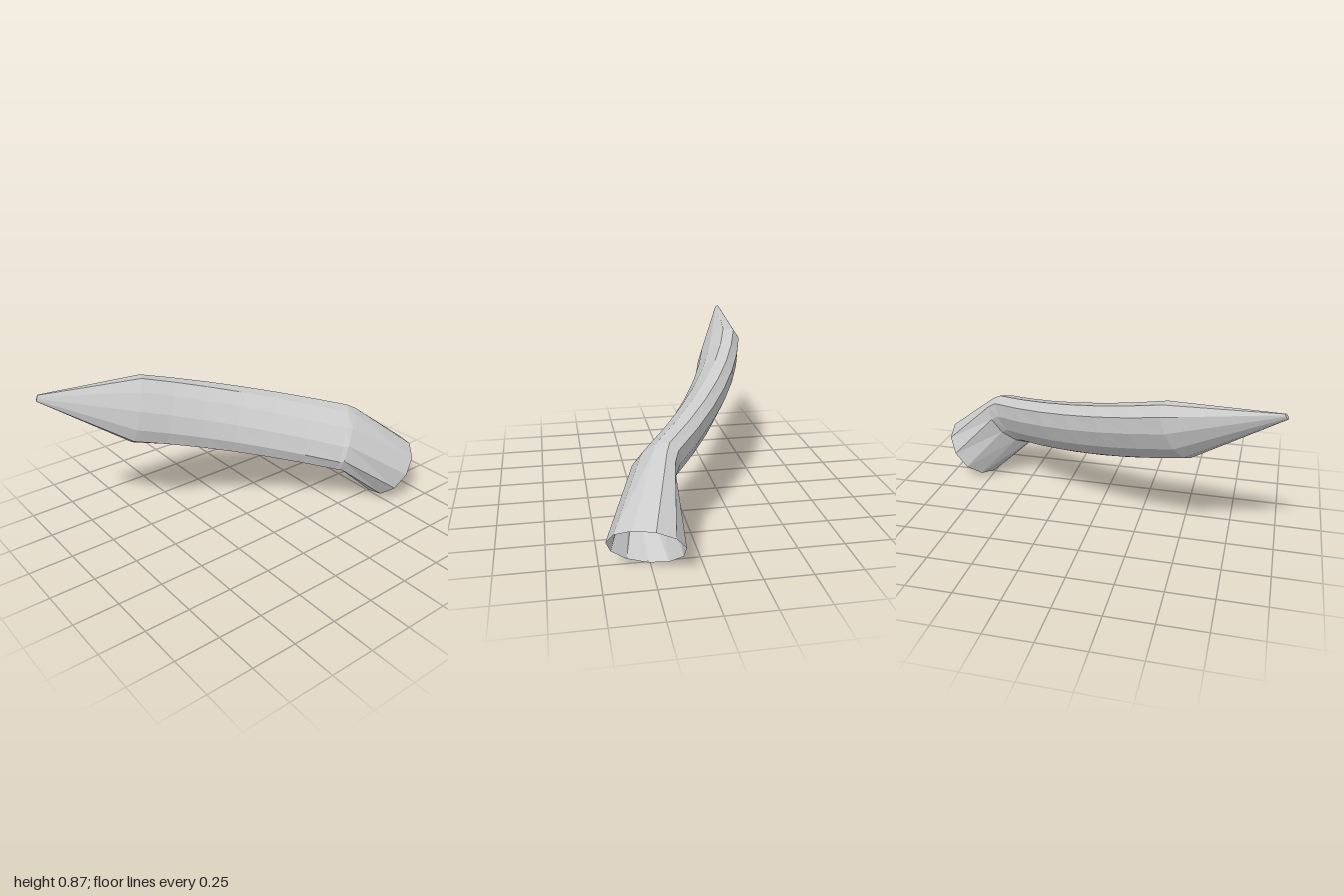
import * as THREE from 'three';

const SIDES = 11;
const PHASE = 0.33;
const v = (x, y, z) => new THREE.Vector3(x, y, z);

// A ring is an ellipse: centre, half-height vector, half-width vector
const ring = (c, t, l) => ({ c: v(...c), t: v(...t), l: v(...l) });

function blend(a, b, k, sag) {
  const c = a.c.clone().lerp(b.c, k);
  c.z -= sag * 4 * k * (1 - k);
  return { c, t: a.t.clone().lerp(b.t, k), l: a.l.clone().lerp(b.l, k) };
}

// Skin a list of rings, optionally closing the last one
function skin(name, rings, capEnd = false) {
  const pos = [], index = [];
  rings.forEach(({ c, t, l }) => {
    for (let i = 0; i < SIDES; i++) {
      const a = (i / SIDES) * Math.PI * 2 + PHASE;
      const p = c.clone().addScaledVector(t, Math.cos(a)).addScaledVector(l, Math.sin(a));
      pos.push(p.x, p.y, p.z);
    }
  });
  for (let j = 0; j < rings.length - 1; j++) {
    for (let i = 0; i < SIDES; i++) {
      const n = (i + 1) % SIDES;
      const a = j * SIDES + i, b = j * SIDES + n;
      index.push(a, a + SIDES, b, b, a + SIDES, b + SIDES);
    }
  }
  if (capEnd) {
    const s = (rings.length - 1) * SIDES;
    for (let i = 1; i < SIDES - 1; i++) index.push(s, s + i + 1, s + i);
  }
  const geo = new THREE.BufferGeometry();
  geo.setAttribute('position', new THREE.Float32BufferAttribute(pos, 3));
  geo.setIndex(index);
  geo.computeVertexNormals();
  const mesh = new THREE.Mesh(geo, new THREE.MeshStandardMaterial({
    color: 0xcccccc, flatShading: true, side: THREE.DoubleSide,
  }));
  mesh.name = name;
  return mesh;
}

export function createModel() {
  const group = new THREE.Group();
  group.name = 'curvedHorn';

  const mouth = ring([0.876, 0.154, 0.284], [0.12, 0.151, 0.016], [-0.047, 0.01, 0.185]);
  const elbow = ring([0.59, 0.395, 0.21], [0.084, 0.153, -0.033], [-0.092, 0, 0.094]);
  const shaftStart = ring([0.555, 0.41, 0.187], [0.07, 0.163, -0.03], [-0.078, -0.02, 0.1]);
  const shaftEnd = ring([-0.48, 0.69, -0.36], [0.07, 0.165, -0.05], [-0.04, 0.01, 0.1]);
  const point = ring([-0.99, 0.86, -0.463], [0.008, 0.015, -0.004], [-0.004, 0, 0.01]);

  // Open round mouth narrowing into the elbow
  group.add(skin('openBase', [mouth, elbow, shaftStart]));

  // Gently bowed oval shaft
  const shaft = [];
  for (let i = 0; i <= 6; i++) shaft.push(blend(shaftStart, shaftEnd, i / 6, 0.07));
  group.add(skin('curvedShaft', shaft));

  // Tapered, closed tip
  group.add(skin('pointedTip', [shaftEnd, point], true));
  return group;
}
